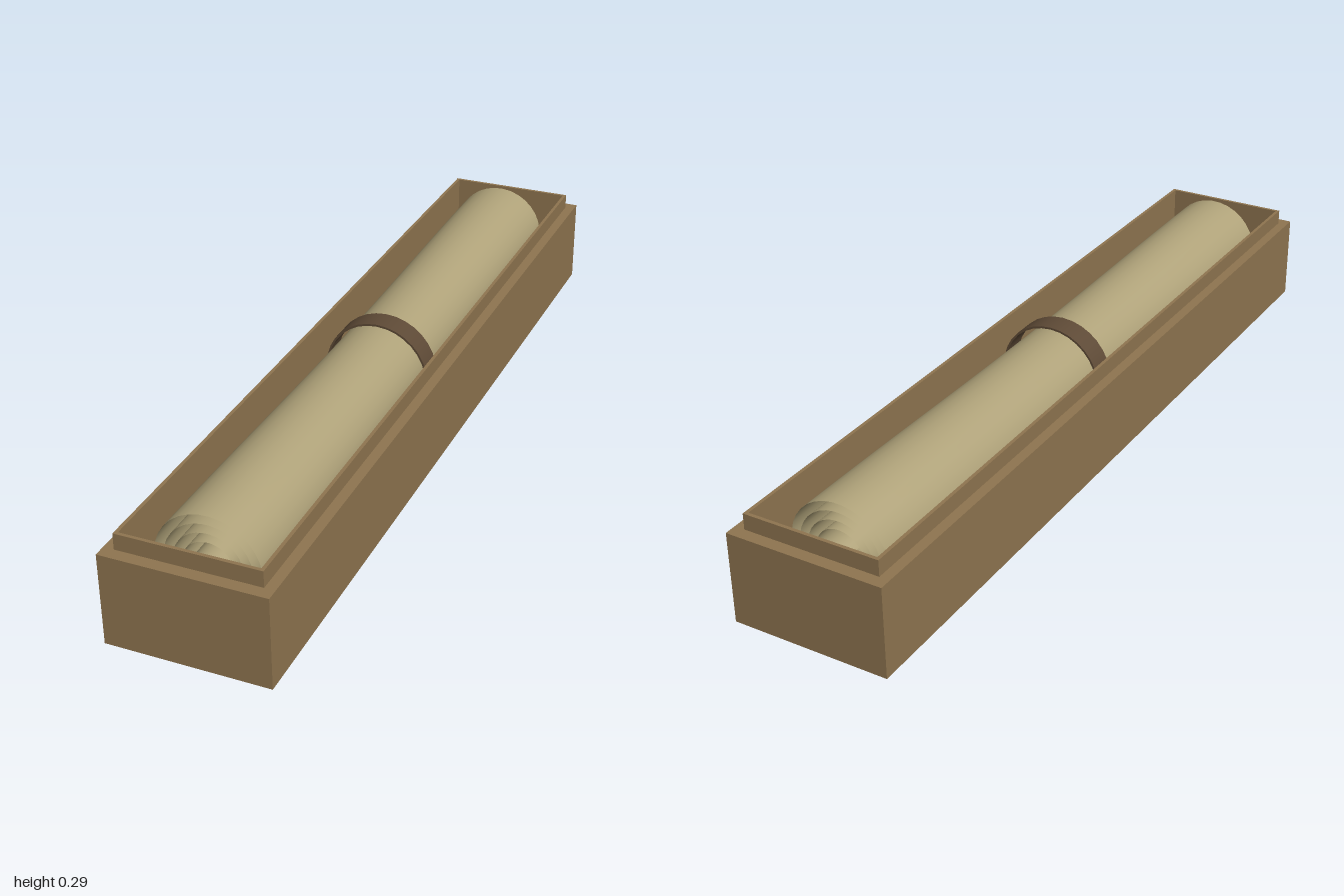
import * as THREE from 'three';

const wood = new THREE.MeshStandardMaterial({ color: 0x8f7550 });
const paper = new THREE.MeshStandardMaterial({ color: 0xb0a37a, side: THREE.DoubleSide });
const leather = new THREE.MeshStandardMaterial({ color: 0x5e4a36 });

const AXIS_Y = 0.161; // height of the roll's axis

function add(parent, name, geometry, material) {
  const mesh = new THREE.Mesh(geometry, material);
  mesh.name = name;
  parent.add(mesh);
  return mesh;
}

// Upright rectangular frame standing on y = 0
function frame(halfX, halfZ, innerX, innerZ, height) {
  const corners = (x, z) => [[-x, -z], [x, -z], [x, z], [-x, z]].map(p => new THREE.Vector2(...p));
  const shape = new THREE.Shape(corners(halfX, halfZ));
  shape.holes.push(new THREE.Path(corners(innerX, innerZ).reverse()));
  return new THREE.ExtrudeGeometry(shape, { depth: height, bevelEnabled: false }).rotateX(-Math.PI / 2);
}

// Rolled sheet: a spiral section swept along z, slightly narrower at the middle
function spiralSheet(halfLength, pitch, turns, outerRadius, endAngle) {
  const around = Math.round(turns * 32);
  const along = 16;
  const geometry = new THREE.PlaneGeometry(1, 1, around, along);
  const position = geometry.attributes.position;
  for (let i = 0; i < position.count; i++) {
    const u = position.getX(i) + 0.5;
    const v = position.getY(i) * 2;
    const back = (1 - u) * turns;
    const angle = endAngle - back * Math.PI * 2;
    const waist = 0.008 * (1 + Math.cos(v * Math.PI)) / 2;
    const radius = (outerRadius - back * pitch) * (1 - waist / 0.125);
    position.setXYZ(i, Math.cos(angle) * radius, Math.sin(angle) * radius, v * halfLength);
  }
  geometry.computeVertexNormals();
  return geometry;
}

export function createModel() {
  const model = new THREE.Group();
  model.name = 'scrollBox';

  // Open box: floor, outer walls and the raised inner lip
  const box = new THREE.Group();
  box.name = 'box';
  model.add(box);
  add(box, 'floor', new THREE.BoxGeometry(0.326, 0.028, 1.95), wood).position.y = 0.014;
  add(box, 'outerWalls', frame(0.187, 1, 0.163, 0.972, 0.217), wood);
  add(box, 'innerLip', frame(0.163, 0.972, 0.155, 0.964, 0.255), wood);

  // Rolled paper
  add(model, 'scroll', spiralSheet(0.885, 0.021, 4.5, 0.136, -0.43), paper).position.y = AXIS_Y;

  // Band around the middle of the roll
  const band = new THREE.LatheGeometry([
    [0.125, -0.03], [0.13, -0.03], [0.13, -0.03], [0.13, 0.03],
    [0.13, 0.03], [0.125, 0.03], [0.125, 0.03], [0.125, -0.03],
  ].map(p => new THREE.Vector2(...p)), 32).rotateX(Math.PI / 2);
  add(model, 'band', band, leather).position.y = AXIS_Y;

  return model;
}
